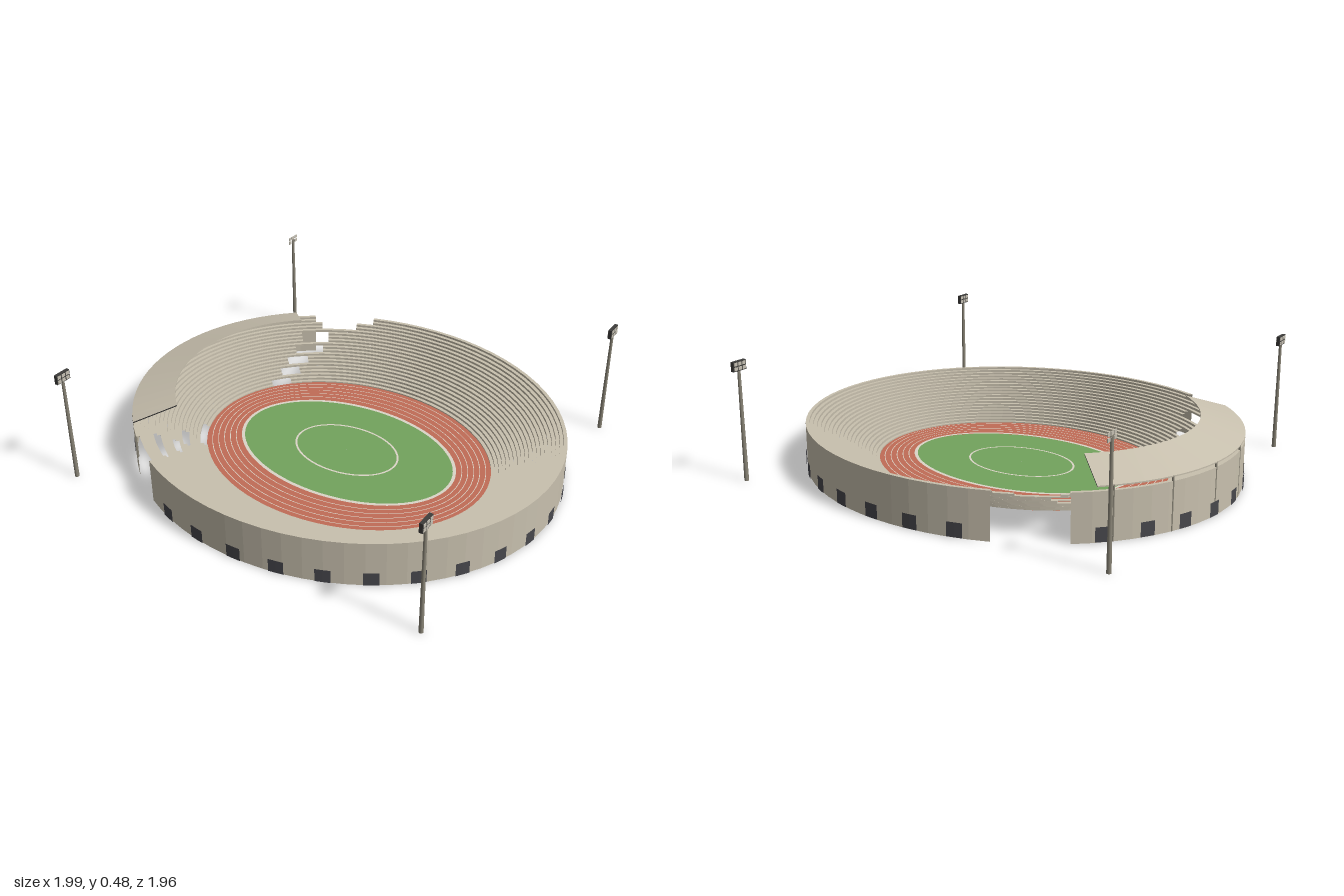
import * as THREE from 'three';
import { mergeGeometries } from 'three/addons/utils/BufferGeometryUtils.js';

const mat = (name, color, both = true) => {
  const m = new THREE.MeshStandardMaterial({ color });
  m.name = name;
  if (both) m.side = THREE.DoubleSide;
  return m;
};

// strip between two concentric ellipse arcs p and q = [a, b, y], angles in degrees
function band(p, q, t0 = 0, t1 = 360, step = 5) {
  const n = Math.max(1, Math.ceil((t1 - t0) / step)), pos = [];
  const at = ([a, b, y], i) => {
    const t = THREE.MathUtils.degToRad(t0 + (t1 - t0) * i / n);
    return [a * Math.cos(t), y, b * Math.sin(t)];
  };
  for (let i = 0; i < n; i++) {
    const A = at(p, i), B = at(q, i), C = at(q, i + 1), D = at(p, i + 1);
    pos.push(...A, ...D, ...C, ...A, ...C, ...B);
  }
  const g = new THREE.BufferGeometry();
  g.setAttribute('position', new THREE.Float32BufferAttribute(pos, 3));
  // order the corners so flat strips face up and upright ones face outward
  const idx = g.attributes.position.array;
  const flip = p[2] === q[2] ? p[0] < q[0] : p[2] < q[2];
  if (flip) {
    for (let k = 0; k < idx.length; k += 9) {
      for (let j = 0; j < 3; j++) {
        const s = idx[k + 3 + j];
        idx[k + 3 + j] = idx[k + 6 + j];
        idx[k + 6 + j] = s;
      }
    }
  }
  g.computeVertexNormals();
  return g;
}

// arcs of the full circle that remain between the given cuts
function arcs(cuts) {
  const sorted = cuts.map(([s, e]) => [(s + 360) % 360, (e + 360) % 360]).sort((u, v) => u[0] - v[0]);
  if (!sorted.length) return [[0, 360]];
  return sorted.map((c, i) => [c[1], i + 1 < sorted.length ? sorted[i + 1][0] : sorted[0][0] + 360]);
}

export function createModel() {
  const concrete = mat('concrete', 0xc8c0ae);
  const clay = mat('track red', 0xc06c56);
  const grass = mat('grass green', 0x73a35d);
  const white = mat('line white', 0xdcd5c8);
  const dark = mat('opening dark', 0x47474c);
  const shade = mat('roof underside', 0x2c2c2c);
  const metal = mat('mast grey', 0x8b8678, false);
  const frame = mat('lamp frame', 0x3e3d3b, false);
  const lamp = mat('lamp glass', 0xc4bfb2, false);

  const model = new THREE.Group();
  const bowl = new THREE.Group();
  bowl.name = 'stadium';
  bowl.rotation.y = THREE.MathUtils.degToRad(18);
  model.add(bowl);
  const add = (name, geo, material, parent = bowl) => {
    const m = new THREE.Mesh(geo, material);
    m.name = name;
    parent.add(m);
    return m;
  };

  // field, track and painted lines
  add('field', band([0.001, 0.001, 0.004], [0.473, 0.314, 0.004]), grass);
  add('track', band([0.473, 0.314, 0.004], [0.616, 0.489, 0.004]), clay);
  add('fieldBorder', band([0.467, 0.308, 0.007], [0.48, 0.322, 0.007]), white);
  add('centreRing', band([0.222, 0.153, 0.007], [0.23, 0.161, 0.007]), white);
  const lanes = [];
  for (let i = 1; i <= 5; i++) {
    const a = 0.478 + 0.138 * i / 6, b = 0.32 + 0.169 * i / 6;
    lanes.push(band([a, b, 0.007], [a + 0.003, b + 0.003, 0.007]));
  }
  add('laneLines', mergeGeometries(lanes), white);

  // terraces with the openings [from, to, start angle, end angle]
  const H = 0.185, N = 20;
  const openings = [
    [0, 0.12, 143, 158], [0.24, 0.33, 137, 146], [0.4, 0.5, 130, 137],
    [0.64, 0.74, 124, 136], [0.94, 1, 119, 131],
    [0, 0.1, -152, -143], [0.14, 0.24, -146, -138], [0.3, 0.4, -142, -134],
    [0.45, 0.55, -138, -128], [0.62, 0.74, -135, -126], [0.8, 0.9, -128, -117], [0.9, 1, -130, -112],
  ];
  const edge = (f, y) => [0.614 + 0.28 * f, 0.487 + 0.302 * f, y];
  const tiers = [];
  for (let i = 0; i < N; i++) {
    const f = i / N, y0 = Math.max(0.004, H * f), y1 = H * (i + 1) / N, mid = (i + 0.5) / N;
    const cuts = openings.filter(o => mid > o[0] && mid < o[1]).map(o => [o[2], o[3]]);
    for (const [s, e] of arcs(cuts)) {
      tiers.push(band(edge(f, y1), edge(f, y0), s, e));
      tiers.push(band(edge(f, y1), edge((i + 1) / N, y1), s, e));
    }
  }
  add('terraces', mergeGeometries(tiers), concrete);

  // outer wall with two gateways
  const gates = [[119, 131], [-130, -112]];
  const wall = arcs(gates).map(([s, e]) => band([0.894, 0.789, 0], [0.894, 0.789, H], s, e));
  add('outerWall', mergeGeometries(wall), concrete);

  // openings along the foot of the wall
  const doors = [];
  for (let k = 0; k < 32; k++) {
    const t = k * 11.25 - 2.5, s = t > 180 ? t - 360 : t;
    if (gates.some(([g0, g1]) => s > g0 - 2 && s < g1 + 2)) continue;
    doors.push(band([0.899, 0.794, 0.003], [0.899, 0.794, 0.058], t - 1.9, t + 1.9, 2));
  }
  add('wallOpenings', mergeGeometries(doors), dark);

  // sloping roof over one side, with posts
  const low = [0.894, 0.789, 0.205], high = [0.725, 0.605, 0.26];
  const down = ([a, b, y]) => [a, b, y - 0.005];
  add('roofTop', band(high, low, 136, 224, 4), concrete);
  add('roofUnderside', band(down(high), down(low), 136, 224, 4), shade);
  add('roofEdges', mergeGeometries([band(down(low), low, 136, 224, 4), band(down(high), high, 136, 224, 4)]), concrete);
  for (let k = 0; k < 6; k++) {
    const t = THREE.MathUtils.degToRad(140 + 16 * k);
    const post = add('roofPost', new THREE.CylinderGeometry(0.005, 0.005, 0.205, 8), metal);
    post.position.set(0.89 * Math.cos(t), 0.1025, 0.785 * Math.sin(t));
  }

  // four floodlight masts
  for (const sx of [-1, 1]) for (const sz of [-1, 1]) {
    const mast = new THREE.Group();
    mast.name = 'floodlight';
    mast.position.set(sx * 0.792, 0, sz * 0.738);
    bowl.add(mast);
    add('mastPole', new THREE.CylinderGeometry(0.006, 0.009, 0.46, 8), metal, mast).position.y = 0.23;
    const open = sx < 0 && sz < 0;
    if (!open) add('lampFrame', new THREE.BoxGeometry(0.014, 0.038, 0.065), frame, mast).position.y = 0.46;
    for (const side of open ? [0] : [-1, 1]) for (let r = 0; r < 2; r++) for (let c = -1; c <= 1; c++) {
      add('lamp', new THREE.BoxGeometry(0.003, 0.013, 0.016), lamp, mast)
        .position.set(side * 0.0075, 0.451 + r * 0.018, c * 0.021);
    }
  }
  return model;
}
